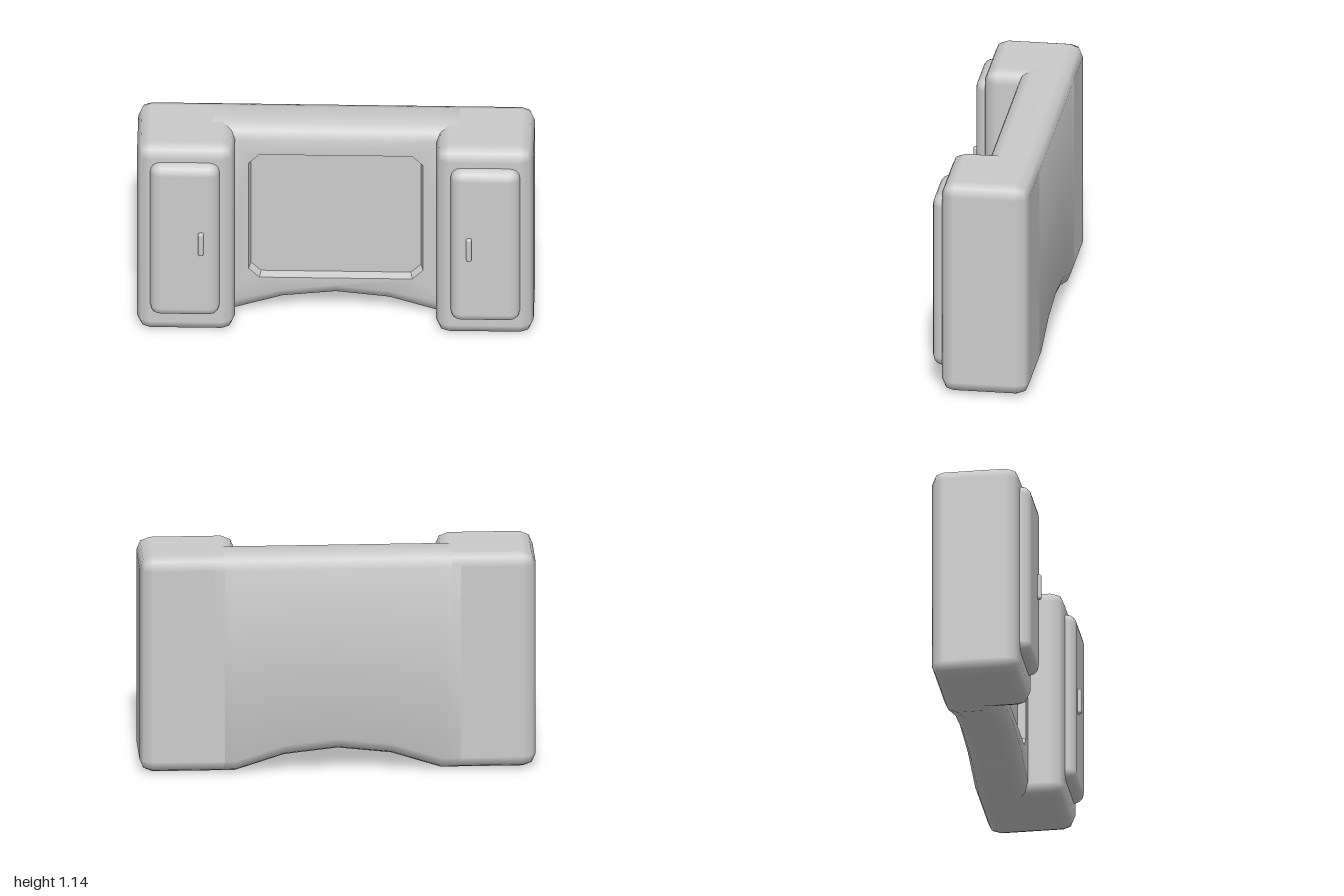
import * as THREE from 'three';
import { mergeGeometries, toCreasedNormals } from 'three/addons/utils/BufferGeometryUtils.js';
import { RoundedBoxGeometry } from 'three/addons/geometries/RoundedBoxGeometry.js';

const TOP = 1.14, BACK = -0.26, FACE = 0.01, R = 0.066;
const material = new THREE.MeshStandardMaterial({ color: 0xcccccc });

function add(parent, name, geometry) {
  const mesh = new THREE.Mesh(geometry, material);
  mesh.name = name;
  parent.add(mesh);
  return mesh;
}

// Rounded box given by its extents on each axis
function roundedBox(parent, name, [x0, x1], [y0, y1], [z0, z1], radius, segments) {
  const geometry = new RoundedBoxGeometry(x1 - x0, y1 - y0, z1 - z0, segments, radius);
  add(parent, name, geometry).position.set((x0 + x1) / 2, (y0 + y1) / 2, (z0 + z1) / 2);
}

// Rectangle with chamfered corners, used for the recess
function octagon(x, y0, y1, c) {
  return [[-x + c, y0], [x - c, y0], [x, y0 + c], [x, y1 - c],
    [x - c, y1], [-x + c, y1], [-x, y1 - c], [-x, y0 + c]].map(([a, b]) => new THREE.Vector2(a, b));
}

// Skin through equally long rows of points
function loft(rows) {
  const n = rows[0].length, index = [];
  for (let i = 0; i < rows.length - 1; i++) {
    for (let j = 0; j < n - 1; j++) {
      const a = i * n + j, b = a + n;
      index.push(a, b, a + 1, b, b + 1, a + 1);
    }
  }
  const geometry = new THREE.BufferGeometry();
  geometry.setAttribute('position', new THREE.Float32BufferAttribute(rows.flat(2), 3));
  geometry.setIndex(index);
  return geometry.toNonIndexed();
}

function flat(shape, z) {
  const geometry = new THREE.ShapeGeometry(shape).toNonIndexed().translate(0, 0, z);
  geometry.deleteAttribute('uv');
  geometry.deleteAttribute('normal');
  return geometry;
}

function centrePanel() {
  // Underside arch as x, y stations; the ends run inside the cabinets
  const arch = [[-0.62, 0], [-0.52, 0], [-0.27, 0.08], [0, 0.11], [0.27, 0.08], [0.52, 0], [0.62, 0]];
  const k = R * (1 - Math.SQRT1_2);

  // Section from the front top edge, over the back, to the front bottom edge
  const section = ([x, y]) => [
    [x, TOP - R, FACE], [x, TOP - k, FACE - k], [x, TOP, FACE - R],
    [x, TOP, BACK + R], [x, TOP - k, BACK + k], [x, TOP - R, BACK],
    [x, y + R, BACK], [x, y + k, BACK + k], [x, y, BACK + R],
    [x, y, FACE - R], [x, y + k, FACE - k], [x, y + R, FACE],
  ];
  const shell = loft(arch.map(section));

  // Front face with the opening
  const outline = arch.map(([x, y]) => new THREE.Vector2(x, y + R));
  for (const [x] of [...arch].reverse()) outline.push(new THREE.Vector2(x, TOP - R));
  const face = new THREE.Shape(outline);
  face.holes.push(new THREE.Path(octagon(0.44, 0.224, 0.985, 0.055)));
  return toCreasedNormals(mergeGeometries([shell, flat(face, FACE)]), 1);
}

function recess() {
  // Sloping rim and sunken floor
  const depth = FACE - 0.04;
  const outer = octagon(0.44, 0.224, 0.985, 0.055);
  const inner = octagon(0.428, 0.238, 0.973, 0.05);
  const ring = (points, z) => [...points, points[0]].map((p) => [p.x, p.y, z]);
  const rim = loft([ring(inner, depth), ring(outer, FACE)]);
  return toCreasedNormals(mergeGeometries([rim, flat(new THREE.Shape(inner), depth)]), 0.5);
}

export function createModel() {
  const model = new THREE.Group();
  model.name = 'wallUnit';

  add(model, 'centrePanel', centrePanel());
  add(model, 'screenRecess', recess());

  // Side cabinets; the left door hangs slightly lower than the right one
  for (const [label, side, drop] of [['left', 1, 0.013], ['right', -1, 0]]) {
    const span = (a, b) => (side > 0 ? [a, b] : [-b, -a]);
    const cabinet = new THREE.Group();
    cabinet.name = `${label}Cabinet`;
    model.add(cabinet);
    roundedBox(cabinet, `${label}CabinetBody`, span(0.507, 1), [0, TOP], [BACK, 0.187], R, 1);
    roundedBox(cabinet, `${label}Door`, span(0.582, 0.933), [0.128 - drop, 1.058 - drop], [0.1, 0.24], 0.055, 2);
    roundedBox(cabinet, `${label}Handle`, span(0.662, 0.69), [0.525 - drop, 0.661 - drop], [0.22, 0.26], 0.011, 2);
  }
  return model;
}
